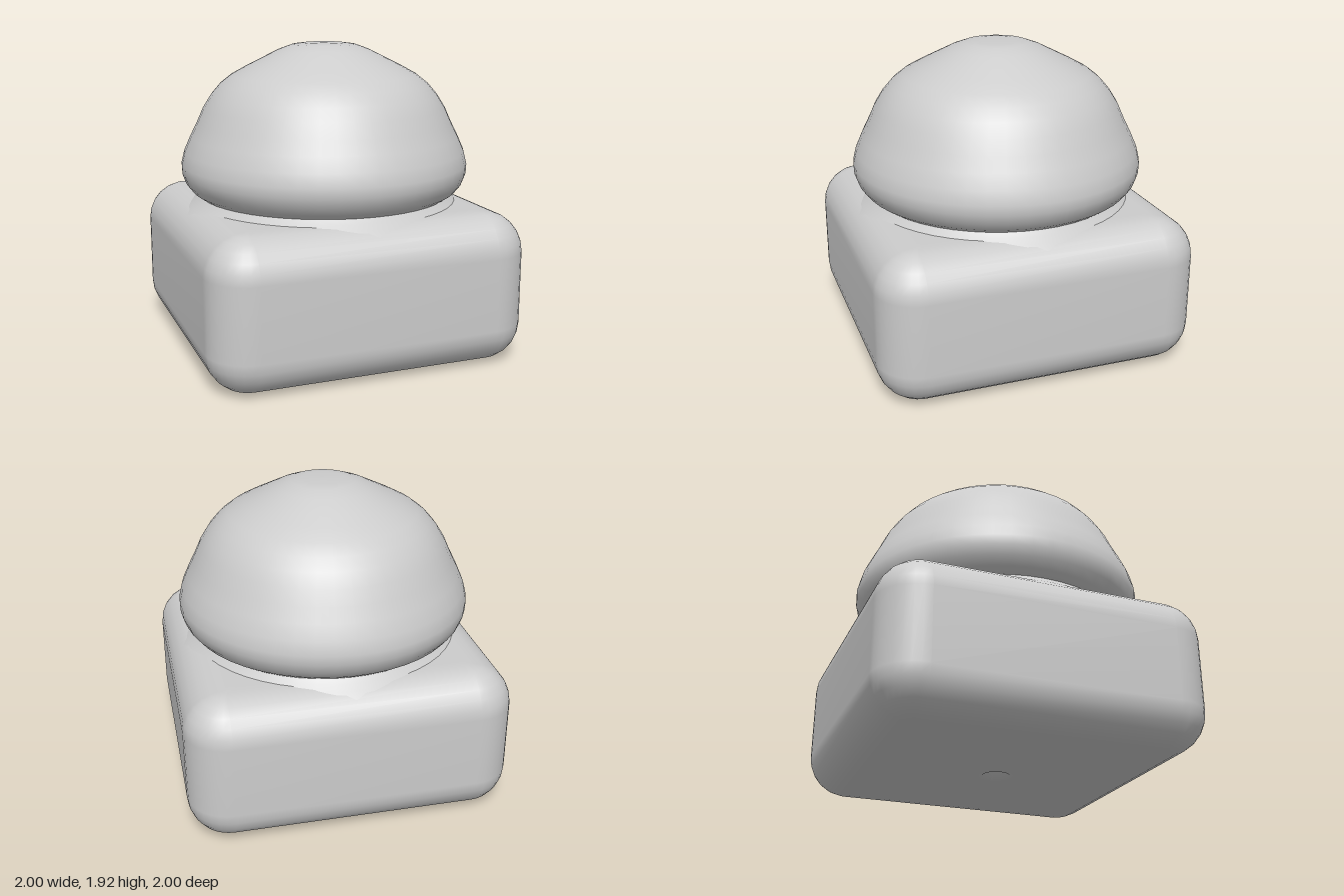
import * as THREE from 'three';

const stone = new THREE.MeshStandardMaterial({ color: 0xcccccc });
stone.name = 'lightGrey';

// Rounded-square ring of half-size h and corner radius r at height y
function ring(h, r, y, steps = 8) {
  const pts = [];
  for (let q = 0; q < 4; q++) {
    const mid = (q + 0.5) * Math.PI / 2;
    const cx = Math.sign(Math.cos(mid)) * (h - r);
    const cz = Math.sign(Math.sin(mid)) * (h - r);
    for (let k = 0; k <= steps; k++) {
      const a = (q + k / steps) * Math.PI / 2;
      pts.push([cx + r * Math.cos(a), y, cz + r * Math.sin(a)]);
    }
  }
  return pts;
}

// Skin a stack of equal rings, with outward faces from first to last
function loft(rings) {
  const n = rings[0].length, index = [];
  for (let i = 0; i < rings.length - 1; i++) {
    for (let j = 0; j < n; j++) {
      const a = i * n + j, b = i * n + (j + 1) % n, c = a + n, d = b + n;
      index.push(a, c, b, b, c, d);
    }
  }
  const g = new THREE.BufferGeometry();
  g.setAttribute('position', new THREE.Float32BufferAttribute(rings.flat(2), 3));
  g.setIndex(index);
  g.computeVertexNormals();
  return g;
}

function lathe(profile) {
  return new THREE.LatheGeometry(profile.map(([r, y]) => new THREE.Vector2(r, y)), 48);
}

export function createModel() {
  const model = new THREE.Group();
  model.name = 'postCap';
  const add = (name, geometry) => {
    const mesh = new THREE.Mesh(geometry, stone);
    mesh.name = name;
    model.add(mesh);
  };

  // Cushion-shaped base with a small conical dimple underneath
  const top = 0.93, edge = 0.24, steps = 6;
  const rings = [ring(0.001, 0.001, 0.07), ring(0.04, 0.04, 0.035), ring(0.085, 0.085, 0), ring(0.12, 0.12, 0), ring(0.72, 0.03, 0)];
  const rounded = (a, y) => {
    const inset = edge * (1 - Math.cos(a));
    rings.push(ring(1 - inset, Math.max(0.26 - inset, 0.03), y));
  };
  for (let k = 0; k <= steps; k++) {
    const a = (1 - k / steps) * Math.PI / 2;
    rounded(a, edge * (1 - Math.sin(a)));
  }
  for (let k = 0; k <= steps; k++) {
    const a = k / steps * Math.PI / 2;
    rounded(a, top - edge * (1 - Math.sin(a)));
  }
  rings.push(ring(0.7, 0.03, top), ring(0.001, 0.001, top));
  add('base', loft(rings));

  // Flared neck blending into the base
  add('neck', lathe([[0.91, 0.875], [0.87, 0.91], [0.83, 0.94], [0.8, 0.97]]));

  // Mushroom-shaped dome
  add('dome', lathe([
    [0, 0.965], [0.8, 0.965], [0.8, 0.966], [0.85, 1.0], [0.89, 1.05], [0.912, 1.11], [0.915, 1.17],
    [0.895, 1.25], [0.855, 1.34], [0.81, 1.43], [0.77, 1.52], [0.72, 1.6],
    [0.66, 1.67], [0.59, 1.725], [0.49, 1.78], [0.39, 1.83], [0.29, 1.88],
    [0.2, 1.913], [0.13, 1.922], [0, 1.924],
  ]));
  return model;
}
